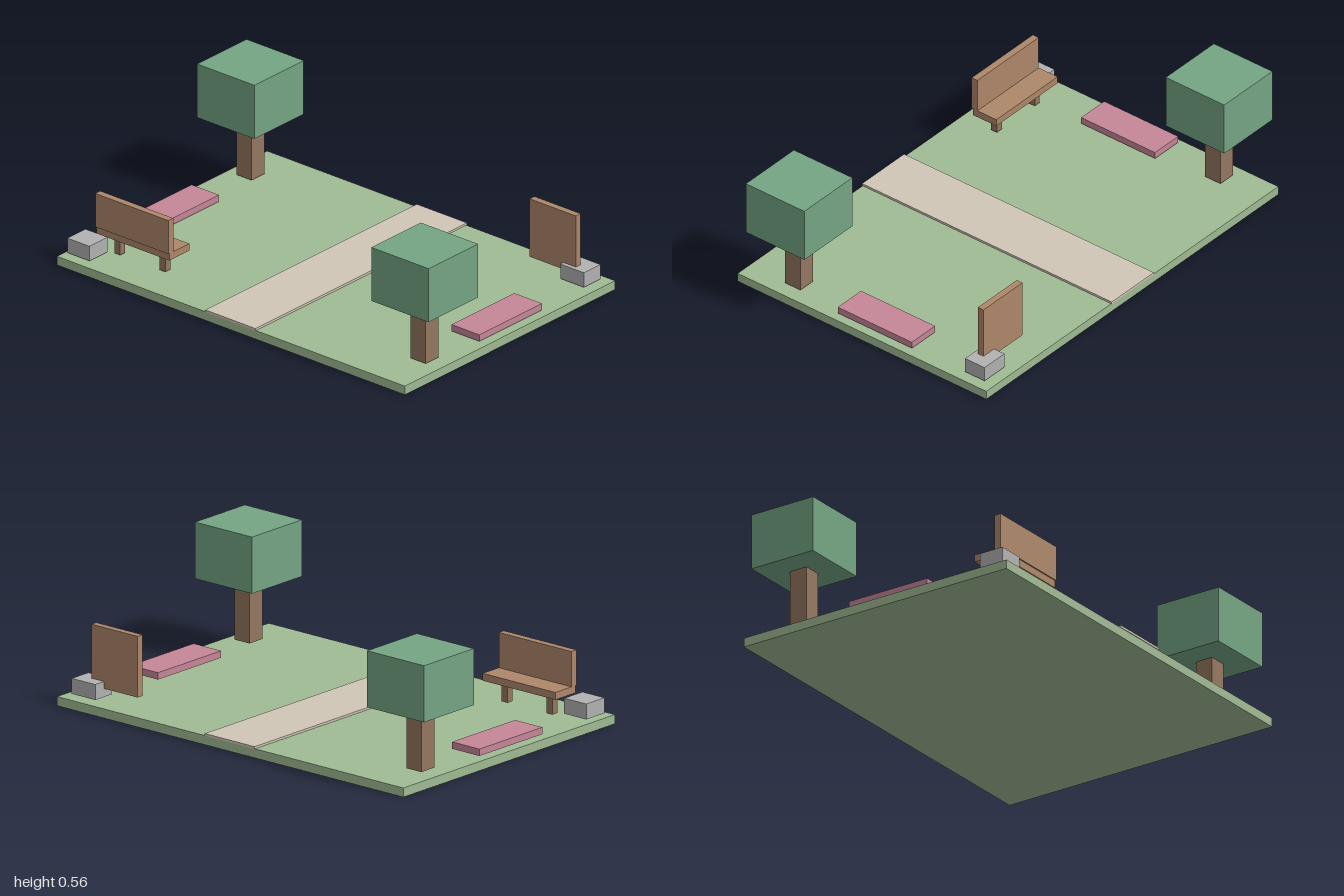
import * as THREE from 'three';

const mat = (color) => new THREE.MeshStandardMaterial({ color, flatShading: true });

export function createModel() {
  const model = new THREE.Group();
  const grass = mat(0xa0bb94), sand = mat(0xd0c6b6), leaf = mat(0x74a583), bark = mat(0x957860);
  const wood = mat(0xae8769), petal = mat(0xc68798), rock = mat(0xb2b2b2);

  // Box given by its lower and upper limits along each axis
  function box(name, material, [x0, x1], [y0, y1], [z0, z1], parent = model) {
    const mesh = new THREE.Mesh(new THREE.BoxGeometry(x1 - x0, y1 - y0, z1 - z0), material);
    mesh.position.set((x0 + x1) / 2, (y0 + y1) / 2, (z0 + z1) / 2);
    mesh.name = name;
    parent.add(mesh);
    return mesh;
  }
  function group(name) {
    const g = new THREE.Group();
    g.name = name;
    model.add(g);
    return g;
  }
  const around = (c, half) => [c - half, c + half];
  const base = 0.05; // everything on the lawn rests level with the path top

  // Lawn and the path across it
  box('lawn', grass, [-0.95, 0.946], [0, 0.04], [-0.664, 0.664]);
  box('path', sand, [-0.138, 0.135], [0.04, base], [-0.667, 0.667]);

  // Trees in opposite corners
  for (const [x, z] of [[-0.844, -0.435], [0.844, 0.42]]) {
    const tree = group('tree');
    box('trunk', bark, around(x, 0.041), [base, 0.317], around(z, 0.041), tree);
    box('foliage', leaf, around(x, 0.156), [0.317, 0.562], around(z, 0.156), tree);
  }

  // Bench facing the lawn, with two legs
  const bench = group('bench');
  box('seat', wood, [-0.836, -0.438], [0.138, 0.17], [0.421, 0.547], bench);
  box('backrest', wood, [-0.836, -0.438], [0.17, 0.323], [0.522, 0.553], bench);
  for (const x of [-0.762, -0.516])
    box('leg', bark, around(x, 0.016), [base, 0.138], [0.469, 0.501], bench);

  // Upright board in the far corner
  box('board', wood, [0.591, 0.844], [0.086, 0.351], [-0.565, -0.535]);

  // Flower beds along both sides
  box('flowerBed', petal, [-0.921, -0.771], [base, 0.08], [-0.153, 0.242]);
  box('flowerBed', petal, [0.763, 0.914], [base, 0.08], [-0.24, 0.156]);

  // Corner stones
  box('stone', rock, [-0.926, -0.805], [base, 0.117], [0.512, 0.626]);
  box('stone', rock, [0.775, 0.904], [base, 0.117], [-0.62, -0.516]);

  return model;
}
